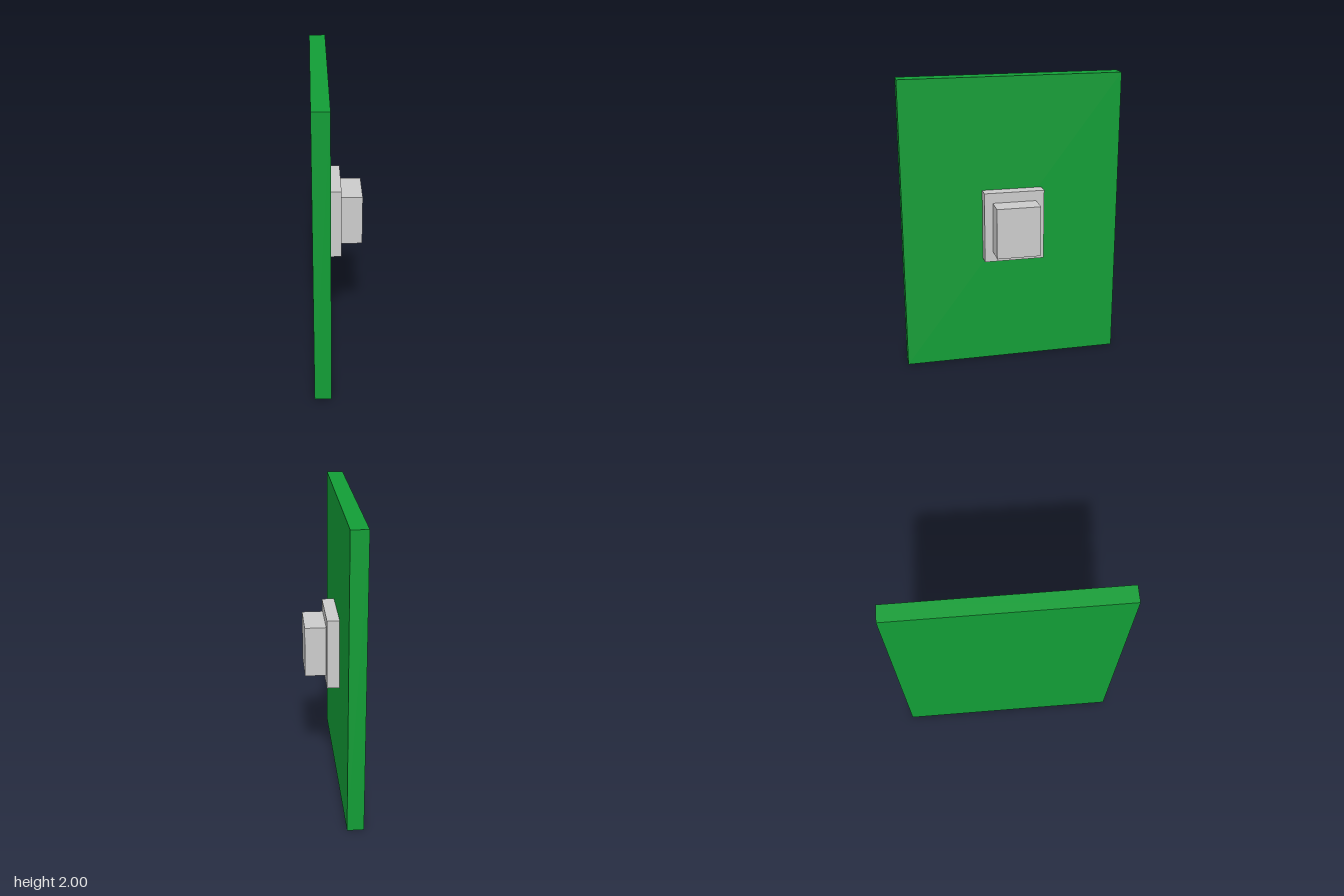
import * as THREE from 'three';

export function createModel() {
  const group = new THREE.Group();
  const grey = new THREE.MeshStandardMaterial({ color: 0xcccccc });
  const green = new THREE.MeshStandardMaterial({ color: 0x129d36 });

  // Box spanning x0..x1, centred on z = 0 and on the panel's mid-height
  function slab(name, x0, x1, height, depth, material) {
    const mesh = new THREE.Mesh(new THREE.BoxGeometry(x1 - x0, height, depth), material);
    mesh.name = name;
    mesh.position.set((x0 + x1) / 2, 1, 0);
    group.add(mesh);
  }

  // Upright panel with a stepped block on its left face
  slab('panel', -0.167, -0.057, 2, 1.49, green);
  slab('mountingPlate', -0.057, 0.026, 0.483, 0.408, grey);
  slab('raisedBlock', 0.026, 0.167, 0.345, 0.296, grey);

  return group;
}
